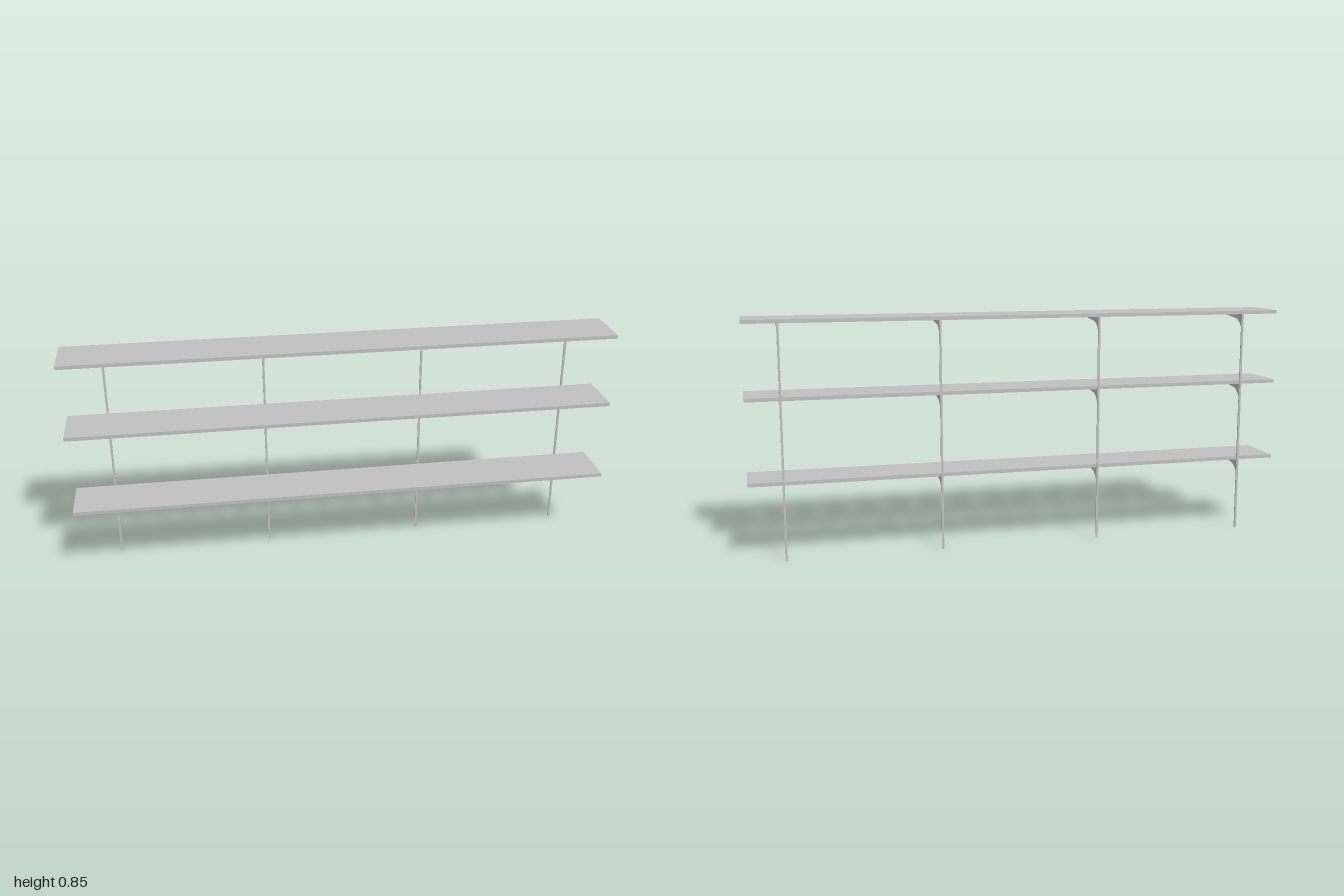
import * as THREE from 'three';

const BACK = -0.098, POST_FRONT = -0.093, FRONT = 0.098;
const POST_X = [-0.856, -0.279, 0.315, 0.877];
const SHELF_TOPS = [0.285, 0.583, 0.851];
const THICK = 0.013;

// Side profile of a bracket: x runs forward, y = 0 is the shelf underside
function bracketGeometry(width) {
  const s = new THREE.Shape();
  s.moveTo(POST_FRONT, 0);
  s.lineTo(POST_FRONT, -0.046);
  s.lineTo(-0.087, -0.046);
  s.bezierCurveTo(-0.076, -0.031, -0.064, -0.02, -0.042, -0.018);
  s.lineTo(0.078, -0.006);
  s.lineTo(0.078, 0);
  s.closePath();
  const g = new THREE.ExtrudeGeometry(s, { depth: width, bevelEnabled: false, curveSegments: 10 });
  g.translate(0, 0, -width / 2);
  g.rotateY(-Math.PI / 2); // profile forward direction becomes +z
  return g;
}

export function createModel() {
  const model = new THREE.Group();
  model.name = 'wallShelving';
  const grey = new THREE.MeshStandardMaterial({ color: 0xc0c0c0 });
  grey.name = 'light grey';

  const add = (name, geometry, x, y, z) => {
    const mesh = new THREE.Mesh(geometry, grey);
    mesh.name = name;
    mesh.position.set(x, y, z);
    model.add(mesh);
  };

  // Long shelf boards
  const depth = FRONT - POST_FRONT;
  const board = new THREE.BoxGeometry(2, THICK, depth);
  for (const top of SHELF_TOPS) add('shelf', board, 0, top - THICK / 2, (FRONT + POST_FRONT) / 2);

  // Slim uprights behind the boards, ending under the top shelf
  const height = SHELF_TOPS[2] - THICK;
  const post = new THREE.BoxGeometry(0.008, height, POST_FRONT - BACK);
  const bracket = bracketGeometry(0.005);
  for (const x of POST_X) {
    add('upright', post, x, height / 2, (BACK + POST_FRONT) / 2);
    // One bracket under every shelf
    for (const top of SHELF_TOPS) add('bracket', bracket, x, top - THICK, 0);
  }
  return model;
}
